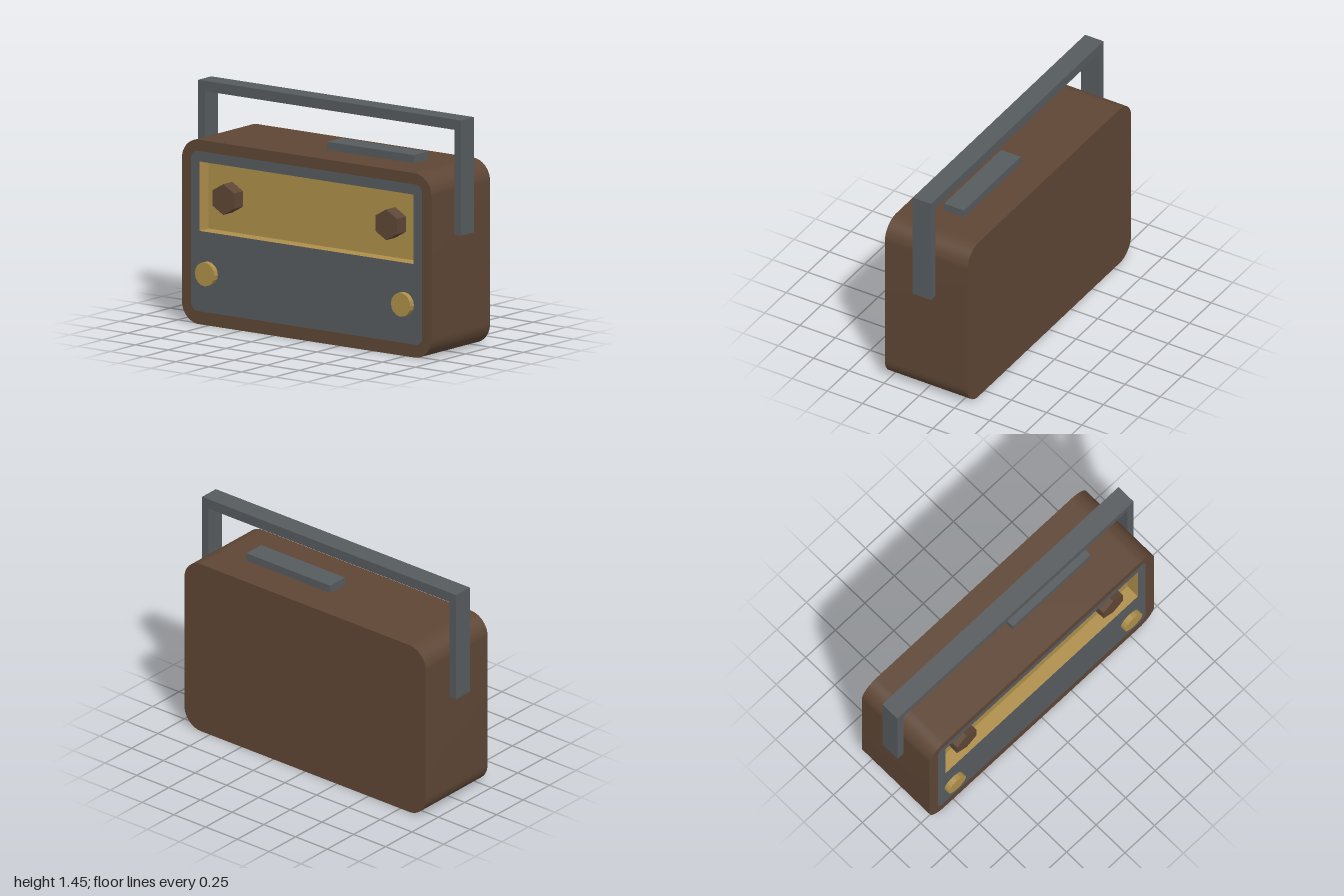
import * as THREE from 'three';
import { toCreasedNormals } from 'three/addons/utils/BufferGeometryUtils.js';

const mat = (name, color) => {
  const m = new THREE.MeshStandardMaterial({ color });
  m.name = name;
  return m;
};

// Rounded rectangle outline from its edges
function roundedRect(Type, x0, y0, x1, y1, r) {
  const s = new Type();
  s.moveTo(x0 + r, y0);
  s.lineTo(x1 - r, y0);
  s.absarc(x1 - r, y0 + r, r, -Math.PI / 2, 0);
  s.lineTo(x1, y1 - r);
  s.absarc(x1 - r, y1 - r, r, 0, Math.PI / 2);
  s.lineTo(x0 + r, y1);
  s.absarc(x0 + r, y1 - r, r, Math.PI / 2, Math.PI);
  s.lineTo(x0, y0 + r);
  s.absarc(x0 + r, y0 + r, r, Math.PI, Math.PI * 1.5);
  return s;
}

function rect(x0, y0, x1, y1) {
  return new THREE.Path([[x0, y0], [x1, y0], [x1, y1], [x0, y1]].map(p => new THREE.Vector2(...p)));
}

export function createModel() {
  const brown = mat('brown casing', 0x5e4635);
  const grey = mat('dark grey', 0x565b5e);
  const gold = mat('brass', 0xae8f4a);

  const FRONT = 0.275, BACK = -0.31, DEPTH = 0.09;
  const radio = new THREE.Group();
  radio.name = 'radio';

  const add = (parent, name, geometry, material, x = 0, y = 0, z = 0) => {
    const mesh = new THREE.Mesh(geometry, material);
    mesh.name = name;
    mesh.position.set(x, y, z);
    parent.add(mesh);
    return mesh;
  };
  const group = name => {
    const g = new THREE.Group();
    g.name = name;
    radio.add(g);
    return g;
  };

  // Casing: rounded side wall, back and front rim
  const casing = group('casing');
  const outline = () => roundedRect(THREE.Shape, -0.95, 0, 0.95, 1.14, 0.13);
  const solid = new THREE.ExtrudeGeometry(outline(), { depth: FRONT - BACK, bevelEnabled: false, curveSegments: 10 });
  const sides = solid.groups[1];
  const wall = new THREE.BufferGeometry();
  wall.setAttribute('position', new THREE.BufferAttribute(
    solid.attributes.position.array.slice(sides.start * 3, (sides.start + sides.count) * 3), 3));
  add(casing, 'sideWall', toCreasedNormals(wall, 0.5), brown, 0, 0, BACK);
  add(casing, 'backPanel', new THREE.ShapeGeometry(outline(), 10).rotateY(Math.PI), brown, 0, 0, BACK);
  const rim = outline();
  rim.holes.push(roundedRect(THREE.Path, -0.88, 0.08, 0.88, 1.07, 0.05));
  add(casing, 'frontRim', new THREE.ShapeGeometry(rim, 10), brown, 0, 0, FRONT);

  // Front panel with an opening for the dial
  const [x0, y0, x1, y1] = [-0.815, 0.577, 0.813, 1.006];
  const panel = roundedRect(THREE.Shape, -0.88, 0.08, 0.88, 1.07, 0.05);
  panel.holes.push(rect(x0, y0, x1, y1));
  add(radio, 'frontPanel', new THREE.ShapeGeometry(panel, 10), grey, 0, 0, FRONT);

  // Sunken dial: back plate and four inward-facing walls
  const dial = group('dialRecess');
  const w = x1 - x0, h = y1 - y0, cx = (x0 + x1) / 2, cy = (y0 + y1) / 2;
  const mid = FRONT - DEPTH / 2;
  add(dial, 'dialPlate', new THREE.PlaneGeometry(w, h), gold, cx, cy, FRONT - DEPTH);
  for (const s of [-1, 1]) {
    add(dial, 'dialSide', new THREE.PlaneGeometry(DEPTH, h).rotateY(-s * Math.PI / 2), gold, cx + s * w / 2, cy, mid);
    add(dial, 'dialLedge', new THREE.PlaneGeometry(w, DEPTH).rotateX(s * Math.PI / 2), gold, cx, cy + s * h / 2, mid);
  }

  // Hexagonal tuning knobs and round lower knobs
  const knob = (r, depth, n) => toCreasedNormals(
    new THREE.CylinderGeometry(r, r, depth, n).rotateX(Math.PI / 2), 0.2);
  for (const x of [-0.635, 0.605])
    add(radio, 'tuningKnob', knob(0.095, DEPTH, 6), brown, x, 0.793, mid);
  for (const x of [-0.75, 0.743])
    add(radio, 'roundKnob', knob(0.074, 0.036, 16), gold, x, 0.322, FRONT + 0.018);

  // Carrying handle
  const frame = new THREE.Shape([
    [-1, 0.738], [-0.95, 0.738], [-0.95, 1.386], [0.95, 1.386],
    [0.95, 0.738], [1, 0.738], [1, 1.45], [-1, 1.45],
  ].map(p => new THREE.Vector2(...p)));
  add(radio, 'handle', new THREE.ExtrudeGeometry(frame, { depth: 0.13, bevelEnabled: false }), grey, 0, 0, -0.083);

  // Long button on top
  add(radio, 'topButton', new THREE.BoxGeometry(0.66, 0.06, 0.14), grey, 0.31, 1.16, -0.026);

  return radio;
}
